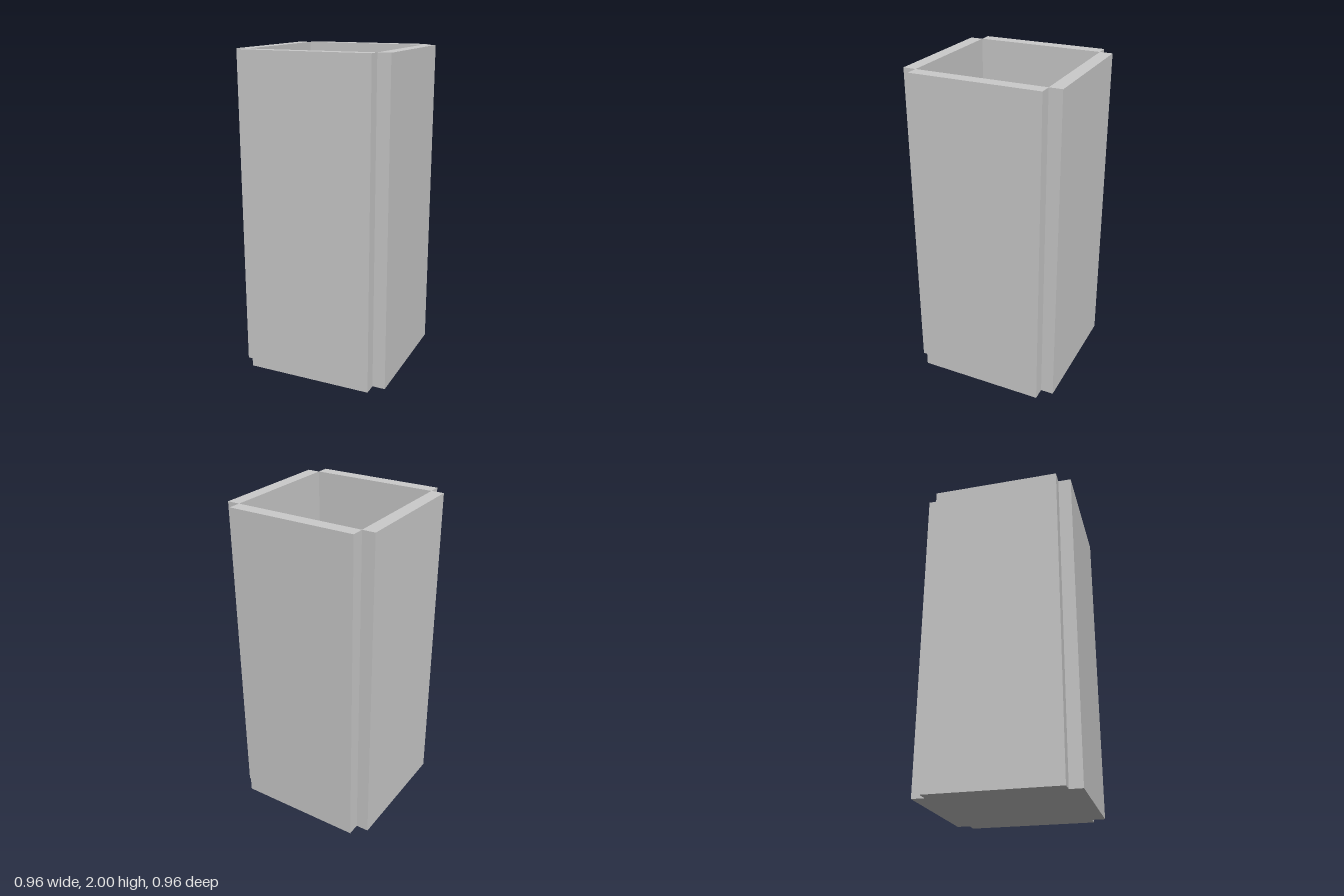
import * as THREE from 'three';

const INNER = 0.8;   // clear width inside the walls
const WALL = 0.08;   // panel thickness
const HEIGHT = 2;

export function createModel() {
  const model = new THREE.Group();
  model.name = 'openBox';
  const material = new THREE.MeshStandardMaterial({ color: 0xcccccc, flatShading: true });

  // Four equal wall panels around a square, leaving the outer corners notched
  const wallGeometry = new THREE.BoxGeometry(INNER, HEIGHT, WALL);
  wallGeometry.translate(0, HEIGHT / 2, INNER / 2 + WALL / 2);
  ['frontWall', 'leftWall', 'backWall', 'rightWall'].forEach((name, i) => {
    const wall = new THREE.Mesh(wallGeometry, material);
    wall.name = name;
    wall.rotation.y = i * Math.PI / 2;
    model.add(wall);
  });

  // Floor panel set between the walls, flush with their lower edges
  const floor = new THREE.Mesh(new THREE.BoxGeometry(INNER, WALL, INNER), material);
  floor.name = 'floor';
  floor.position.y = WALL / 2;
  model.add(floor);

  return model;
}
